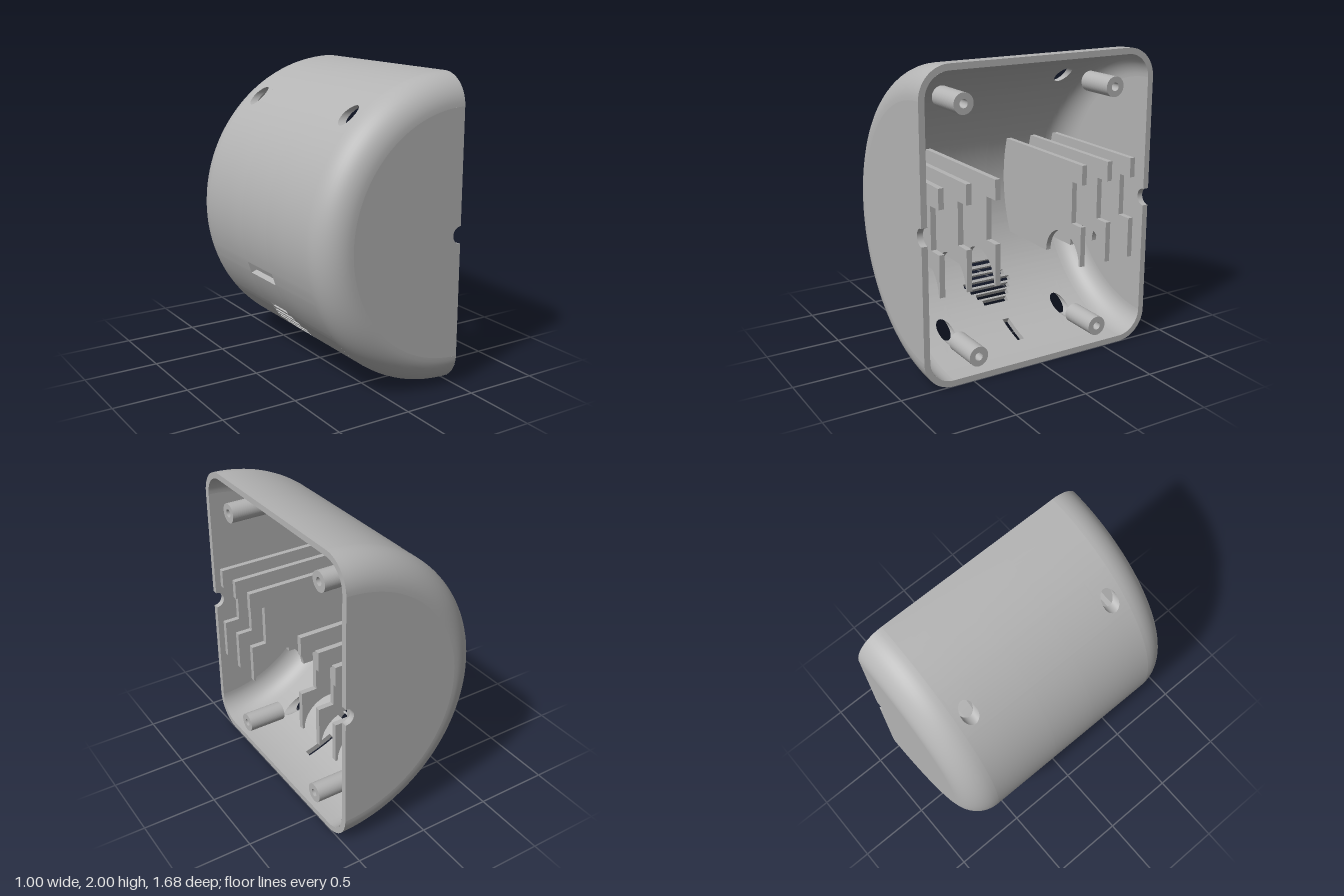
import * as THREE from 'three';

const R_OUT = 1, R_IN = 0.96, FLAT = 0.64; // shell radii, half length of the straight barrel

// Point on the barrel: radius, angle from the back (-x), z
const polar = (r, a, z) => [0.5 - r * Math.cos(a), 1 + r * Math.sin(a), z];
const angleAt = (r, y) => Math.asin((y - 1) / r);
const steps = (a, b, n) => Array.from({ length: n + 1 }, (_, i) => a + (b - a) * i / n);

// Grid surface over two lists of parameters, with optional skipped cells
function surface(f, us, vs, skip = () => false) {
  const pos = [], idx = [], n = vs.length;
  us.forEach(u => vs.forEach(v => pos.push(...f(u, v))));
  for (let i = 0; i < us.length - 1; i++) for (let j = 0; j < n - 1; j++) {
    if (skip((us[i] + us[i + 1]) / 2, (vs[j] + vs[j + 1]) / 2)) continue;
    const a = i * n + j, b = a + n;
    idx.push(a, a + 1, b, b, a + 1, b + 1);
  }
  const g = new THREE.BufferGeometry();
  g.setAttribute('position', new THREE.Float32BufferAttribute(pos, 3));
  g.setIndex(idx);
  g.computeVertexNormals();
  return g;
}

export function createModel() {
  const model = new THREE.Group();
  const grey = new THREE.MeshStandardMaterial({ color: 0xb4b4b4, side: THREE.DoubleSide });
  grey.name = 'grey plastic';
  const add = (name, geometry) => {
    const m = new THREE.Mesh(geometry, grey);
    m.name = name;
    model.add(m);
    return m;
  };

  // Rectangular openings: [y0, y1, half width in z]
  const slots = [[0.66, 0.735, 0.16], [0.07, 0.145, 0.025]];
  const grille = [[0.443, 0.095], [0.403, 0.125], [0.367, 0.155], [0.33, 0.185],
    [0.295, 0.155], [0.263, 0.125], [0.23, 0.095]];
  grille.forEach(([y, w]) => slots.push([y - 0.012, y + 0.012, w]));
  const rects = slots.map(([y0, y1, w]) => ({ a0: angleAt(R_IN, y0), a1: angleAt(R_IN, y1), z0: -w, z1: w }));

  // Screw openings sit in patches of the barrel that are meshed around the hole
  const HOLE = 0.055, PATCH = 0.085;
  const screws = [], patches = [];
  for (const s of [-1, 1]) {
    screws.push({ y: 1.76, z: 0.545 * s, a0: 0.74, a1: 1.06 });
    screws.push({ y: 0.15, z: 0.455 * s, a0: -1.28, a1: -0.88 });
  }
  screws.forEach(h => patches.push({ a0: h.a0, a1: h.a1, z0: h.z - PATCH, z1: h.z + PATCH }));

  // Barrel walls with openings left out
  const gaps = [...rects, ...patches];
  const unique = list => [...new Set(list)].sort((p, q) => p - q);
  const base = steps(-Math.PI / 2, Math.PI / 2, 72);
  const angles = unique([...base, ...gaps.flatMap(g => [g.a0, g.a1])]);
  const zs = unique([-FLAT, FLAT, ...gaps.flatMap(g => [g.z0, g.z1])]);
  const inGap = (a, z) => gaps.some(g => a > g.a0 && a < g.a1 && z > g.z0 && z < g.z1);
  const turn = steps(0, Math.PI * 2, 40);
  const holeEdge = (h, r, t) => [angleAt(r, h.y + HOLE * Math.sin(t)), h.z + HOLE * Math.cos(t)];
  for (const [r, side] of [[R_OUT, 'outer'], [R_IN, 'inner']]) {
    add(side + 'Barrel', surface((a, z) => polar(r, a, z), angles, zs, inGap));
    for (const h of screws) {
      add(side + 'ScrewPatch', surface((t, v) => {
        const [a, z] = holeEdge(h, r, t);
        const k = 1 / Math.max(Math.abs(Math.cos(t)), Math.abs(Math.sin(t)));
        const ra = (h.a0 + h.a1) / 2 + (h.a1 - h.a0) / 2 * k * Math.sin(t);
        const rz = h.z + PATCH * k * Math.cos(t);
        return polar(r, a + (ra - a) * v, z + (rz - z) * v);
      }, turn, steps(0, 1, 4)));
    }
    // Rounded edges between barrel and end walls
    for (const s of [-1, 1]) {
      add(side + 'RoundedEdge', surface((a, t) =>
        polar(0.8 + (r - 0.8) * Math.cos(t), a, s * (FLAT + (r - 0.8) * Math.sin(t))),
      base, steps(0, Math.PI / 2, 12)));
    }
  }

  // Walls inside the openings
  for (const h of screws) {
    add('screwHoleWall', surface((t, r) => {
      const [a, z] = holeEdge(h, r, t);
      return polar(r, a, z);
    }, turn, [R_IN, R_OUT]));
  }
  for (const q of rects) {
    for (const z of [q.z0, q.z1]) add('slotEnd', surface((a, r) => polar(r, a, z), steps(q.a0, q.a1, 6), [R_IN, R_OUT]));
    for (const a of [q.a0, q.a1]) add('slotSide', surface((z, r) => polar(r, a, z), [q.z0, q.z1], [R_IN, R_OUT]));
  }

  // Flat end walls with a half round cable notch
  const wall = new THREE.Shape();
  wall.absarc(0.5, 1, 0.8, Math.PI / 2, Math.PI * 1.5, false);
  wall.absarc(0.5, 1, 0.057, Math.PI * 1.5, Math.PI / 2, true);
  for (const z of [-0.84, 0.8]) {
    add('endWall', new THREE.ExtrudeGeometry(wall, { depth: 0.04, bevelEnabled: false, curveSegments: 48 }).translate(0, 0, z));
  }

  // Rim faces at top and bottom of the opening
  const rim = new THREE.Shape();
  rim.absarc(FLAT, 0.8, 0.2, 0, Math.PI / 2, false);
  rim.absarc(-FLAT, 0.8, 0.2, Math.PI / 2, Math.PI, false);
  rim.absarc(-FLAT, 0.8, 0.16, Math.PI, Math.PI / 2, true);
  rim.absarc(FLAT, 0.8, 0.16, Math.PI / 2, 0, true);
  for (const flip of [0, Math.PI]) {
    add('rim', new THREE.ShapeGeometry(rim, 12).rotateY(Math.PI / 2).rotateX(flip).translate(0.5, 1, 0));
  }

  // Screw bosses
  const ring = new THREE.Shape();
  ring.absarc(0, 0, 0.066, 0, Math.PI * 2, false);
  const bore = new THREE.Path();
  bore.absarc(0, 0, 0.027, 0, Math.PI * 2, true);
  ring.holes.push(bore);
  for (const h of screws) {
    add('screwBoss', new THREE.ExtrudeGeometry(ring, { depth: 0.27, bevelEnabled: false, curveSegments: 32 })
      .rotateY(Math.PI / 2).translate(0.22, h.y, h.z));
  }

  // Holder ribs: notched front edge, arched cutout below
  const rib = new THREE.Shape();
  rib.absarc(0.5, 1, 0.97, Math.PI - Math.asin(0.28 / 0.97), Math.PI + Math.asin(0.4 / 0.97), false);
  rib.absarc(0.29, 0.6, 0.19, Math.PI, 0, true);
  [[0.495, 0.6], [0.495, 0.87], [0.39, 0.87], [0.39, 1.15], [0.495, 1.15], [0.495, 1.28]]
    .forEach(([x, y]) => rib.lineTo(x, y));
  for (const s of [-1, 1]) for (const z of [0.32, 0.52, 0.705]) {
    add('holderRib', new THREE.ExtrudeGeometry(rib, { depth: 0.036, bevelEnabled: false, curveSegments: 24 })
      .translate(0, 0, s * z - 0.018));
  }
  return model;
}
